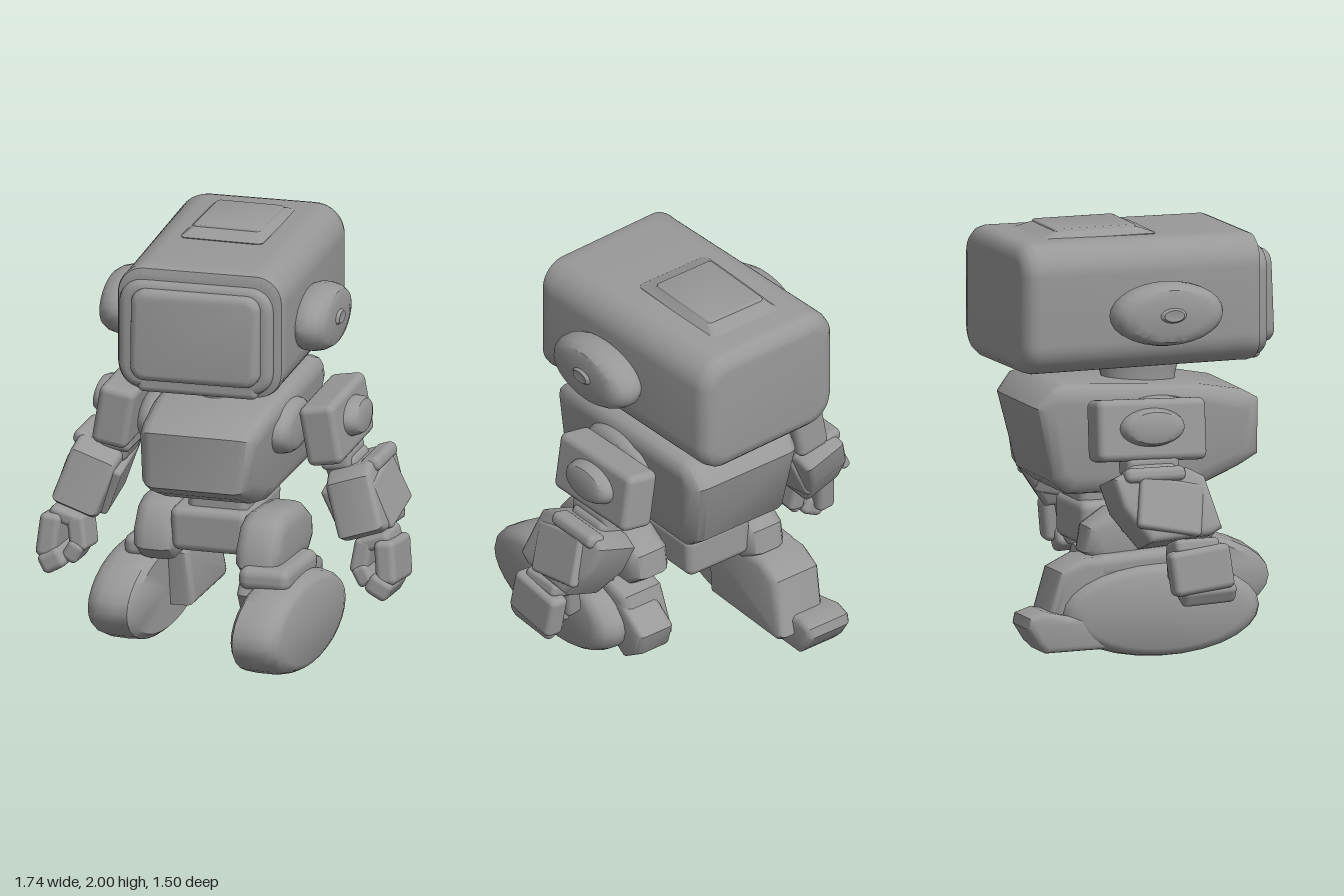
import * as THREE from 'three';
import { RoundedBoxGeometry } from 'three/addons/geometries/RoundedBoxGeometry.js';
import { toCreasedNormals } from 'three/addons/utils/BufferGeometryUtils.js';

const grey = new THREE.MeshStandardMaterial({ color: 0x999999 });
grey.name = 'plain grey';

export function createModel() {
  const model = new THREE.Group();
  model.name = 'robot';

  function add(parent, name, geometry, pos = [0, 0, 0], rot = [0, 0, 0]) {
    const mesh = new THREE.Mesh(geometry, grey);
    mesh.name = name;
    mesh.position.set(...pos);
    mesh.rotation.set(...rot);
    parent.add(mesh);
  }

  // Moves every vertex by a rule
  function reshape(geometry, rule) {
    const p = geometry.attributes.position;
    const v = new THREE.Vector3();
    for (let i = 0; i < p.count; i++) {
      v.fromBufferAttribute(p, i);
      rule(v);
      p.setXYZ(i, v.x, v.y, v.z);
    }
    return geometry;
  }

  const box = (w, h, d, r) => new RoundedBoxGeometry(w, h, d, 3, r);

  // Side outline of [z, y] points, extruded across x with a bevel
  function sideProfile(points, width, bevel, rule = () => {}) {
    const shape = new THREE.Shape(points.map(([z, y]) => new THREE.Vector2(z, y)));
    const g = new THREE.ExtrudeGeometry(shape, {
      depth: width - 2 * bevel, bevelThickness: bevel, bevelSize: bevel,
      bevelOffset: -bevel, bevelSegments: 3,
    });
    g.translate(0, 0, bevel - width / 2);
    g.rotateY(-Math.PI / 2);
    return toCreasedNormals(reshape(g, rule), 0.75);
  }

  // Oval disc facing outwards along x; profile is [radius 0..1, height]
  function disc(profile, ry, rz, s) {
    const g = new THREE.LatheGeometry(profile.map(([r, h]) => new THREE.Vector2(r, h)), 28);
    g.rotateZ(-s * Math.PI / 2);
    g.scale(1, ry, rz);
    return toCreasedNormals(g, 0.7);
  }

  // Rounded rectangle in the xy plane, extruded along z
  function plate(w, h, r, depth, bevel, rule = () => {}) {
    const x = w / 2 - r, y = h / 2 - r;
    const shape = new THREE.Shape();
    [[x, y], [-x, y], [-x, -y], [x, -y]].forEach(([cx, cy], i) =>
      shape.absarc(cx, cy, r, i * Math.PI / 2, (i + 1) * Math.PI / 2));
    const g = new THREE.ExtrudeGeometry(shape, {
      depth: depth - 2 * bevel, bevelThickness: bevel, bevelSize: bevel,
      bevelOffset: -bevel, bevelSegments: 3, curveSegments: 6,
    });
    g.translate(0, 0, bevel - depth / 2);
    return toCreasedNormals(reshape(g, rule), 0.6);
  }

  // Head: well rounded at the back, tighter at the front edge, turned slightly
  const head = new THREE.Group();
  head.name = 'head';
  model.add(head);
  const shell = plate(0.805, 0.61, 0.15, 1.19, 0.075, (v) => {
    const t = Math.max(0, v.z - 0.52) / 0.075;
    v.x *= 1 + 0.1 * t * t;
    v.y *= 1 + 0.14 * t * t;
    if (v.y > 0) v.y += 0.005 - v.z * 0.015;
  });
  add(head, 'headShell', shell, [0.003, 1.645, -0.145], [0, 0.035, 0]);
  add(head, 'faceRim', plate(0.74, 0.52, 0.11, 0.08, 0.035), [0.01, 1.625, 0.45], [0, 0.035, 0]);
  add(head, 'facePlate', plate(0.62, 0.44, 0.07, 0.11, 0.035), [0.02, 1.635, 0.49], [-0.04, 0.04, 0]);
  add(head, 'chinLip', box(0.58, 0.08, 0.1, 0.03), [0.02, 1.385, 0.44], [0, 0.035, 0]);
  const topPanel = plate(0.4, 0.58, 0.03, 0.05, 0.01, (v) => {
    if (v.z > 0) { v.x *= 0.82; v.y *= 0.7; }
  });
  add(head, 'topPanel', topPanel, [-0.01, 1.972, -0.29], [-Math.PI / 2, 0, 0]);

  // Neck, torso and hips
  const neck = new THREE.LatheGeometry([
    [0.12, 1.2], [0.12, 1.26], [0.125, 1.29], [0.132, 1.36],
  ].map(([r, y]) => new THREE.Vector2(r, y)), 24);
  neck.scale(1, 1, 1.5);
  add(model, 'neck', neck, [-0.005, 0, -0.02]);
  add(model, 'torso', sideProfile([
    [0.24, 0.765], [0.1, 0.74], [-0.45, 0.75], [-0.54, 0.82], [-0.62, 1.17], [-0.55, 1.26],
    [-0.48, 1.28], [0.2, 1.235], [0.42, 1.195], [0.5, 1.15], [0.5, 0.885], [0.4, 0.83],
  ], 0.65, 0.075, (v) => {
    v.x *= 0.85 + 0.15 * (v.y - 0.74) / 0.54;
    v.x *= 1 - 0.1 * Math.max(0, v.z) / 0.5;
    v.x += 0.02 * (v.y - 0.74) / 0.54;
  }));
  add(model, 'waist', box(0.29, 0.16, 0.5, 0.04), [0.015, 0.72, -0.1]);
  const pelvis = reshape(box(0.37, 0.21, 0.58, 0.04), (v) => { v.x *= 1 + v.y * 0.3; });
  add(model, 'pelvis', pelvis, [-0.01, 0.595, -0.08]);

  const puck = [[0, -0.06], [0.9, -0.06], [1, -0.03], [1, 0], [0.94, 0.03], [0.82, 0.052], [0.6, 0.06], [0, 0.06]];
  const knob = [[0, -0.02], [1, -0.02], [1, 0.005], [0.75, 0.02], [0, 0.015]];
  const wheelProfile = [[0, -0.125], [0.88, -0.125], [0.98, -0.1], [1, -0.04], [1, 0.04],
    [0.96, 0.085], [0.9, 0.11], [0.8, 0.122], [0, 0.125]];

  // Shin and heel outlines; the trailing right leg stands more upright
  const legs = {
    left: {
      z: 0, thighZ: 0, handZ: 0, shinWidth: 0.24, heelWidth: 0.2, heelX: 0.335,
      shin: [[0.25, 0.13], [-0.2, 0.12], [-0.27, 0.15], [-0.2, 0.4], [0.05, 0.48], [0.4, 0.47], [0.45, 0.38]],
      heel: [[-0.2, 0.07], [-0.31, 0.14], [-0.34, 0.25], [-0.17, 0.37], [-0.08, 0.3], [-0.05, 0.17]],
    },
    right: {
      z: -0.34, thighZ: 0.17, handZ: 0.04, shinWidth: 0.27, heelWidth: 0.25, heelX: 0.37,
      shin: [[0.25, 0.13], [-0.25, 0.12], [-0.29, 0.15], [-0.22, 0.42], [-0.1, 0.48], [0.22, 0.48], [0.3, 0.4]],
      heel: [[0, 0.055], [-0.31, 0.05], [-0.35, 0.09], [-0.4, 0.17], [-0.39, 0.22], [-0.31, 0.245], [-0.2, 0.22], [0, 0.2]],
    },
  };

  for (const s of [1, -1]) {
    const side = s > 0 ? 'left' : 'right';
    const { z, thighZ, handZ, shin, shinWidth, heel, heelWidth, heelX } = legs[side];

    // Ear
    add(head, side + 'Ear', disc(puck.map(([r, h]) => [r, h * 1.35]), 0.15, 0.275, s), [s * 0.475, 1.62, -0.045]);
    add(head, side + 'EarKnob', disc(knob, 0.036, 0.065, s), [s * 0.55, 1.625, -0.045]);

    // Shoulder and arm
    const arm = new THREE.Group();
    arm.name = side + 'Arm';
    model.add(arm);
    add(arm, 'shoulderDisc', disc(puck, 0.125, 0.23, s), [s * 0.315, 1.08, -0.03]);
    add(arm, 'upperArm', box(0.175, 0.29, 0.54, 0.035), [s * 0.505, 1.085, -0.16], [0.03, 0, s * 0.17]);
    add(arm, 'upperArmDisc', disc(puck, 0.09, 0.16, s), [s * 0.59, 1.11, -0.165], [0, 0, s * 0.1]);
    add(arm, 'elbowUpper', box(0.15, 0.1, 0.26, 0.03), [s * 0.535, 0.92, -0.16], [0, 0, s * 0.1]);
    add(arm, 'elbowLower', box(0.16, 0.1, 0.24, 0.035), [s * 0.56, 0.875, -0.17], [0, 0, s * 0.4]);
    const forearm = sideProfile([
      [0.2, -0.15], [-0.1, -0.17], [-0.22, 0], [-0.255, 0.14], [-0.17, 0.175],
      [0.12, 0.175], [0.2, 0.13], [0.26, -0.12],
    ], 0.23, 0.03);
    add(arm, 'forearm', forearm, [s * 0.66, 0.735, -0.15], [0, 0, s * 0.33]);
    for (const [name, x, y] of [['outerForearmPad', 0.765, 0.765], ['innerForearmPad', 0.55, 0.71]])
      add(arm, name, box(0.05, 0.25, 0.32, 0.02), [s * x, y, -0.14], [0.2, 0, s * 0.37]);
    add(arm, 'forearmLug', box(0.1, 0.07, 0.3, 0.03), [s * 0.7, 0.905, -0.2], [0, 0, s * 0.3]);

    // Two-fingered gripper
    const hand = new THREE.Group();
    hand.name = side + 'Hand';
    hand.position.z = handZ;
    arm.add(hand);
    add(hand, 'wrist', box(0.16, 0.07, 0.22, 0.025), [s * 0.745, 0.56, -0.06], [0, 0, s * 0.3]);
    add(hand, 'outerFinger', box(0.1, 0.21, 0.3, 0.03), [s * 0.815, 0.465, -0.05], [-0.12, 0, s * 0.1]);
    add(hand, 'outerFingertip', box(0.12, 0.1, 0.27, 0.03), [s * 0.79, 0.36, -0.01], [-0.05, 0, -s * 0.5]);
    add(hand, 'innerFinger', box(0.085, 0.17, 0.22, 0.025), [s * 0.685, 0.48, -0.05], [-0.12, 0, -s * 0.15]);
    add(hand, 'innerFingertip', box(0.08, 0.1, 0.2, 0.025), [s * 0.7, 0.4, -0.02], [-0.05, 0, s * 0.5]);

    // Leg
    const leg = new THREE.Group();
    leg.name = side + 'Leg';
    leg.position.z = z;
    model.add(leg);
    const thigh = sideProfile([
      [0.3, 0.43], [-0.15, 0.43], [-0.24, 0.5], [-0.22, 0.62], [-0.1, 0.7], [0.2, 0.73],
      [0.3, 0.7], [0.38, 0.6], [0.39, 0.5],
    ], 0.22, 0.065);
    add(leg, 'thigh', thigh, [s * 0.275, -0.01, thighZ]);
    add(leg, 'knee', box(0.25, 0.11, 0.5, 0.045), [s * 0.33, 0.445, 0.2], [-0.06, 0, 0]);
    add(leg, 'shin', sideProfile(shin, shinWidth, 0.04, (v) => { v.x -= s * (0.45 - v.y) * 0.08; }), [s * 0.32, 0, 0]);
    add(leg, 'wheelFoot', disc(wheelProfile, 0.22, 0.485, s), [s * 0.405, 0.222, 0.265], [0, -0.08, s * 0.02]);
    add(leg, 'heel', sideProfile(heel, heelWidth, 0.03), [s * heelX, 0, 0]);
  }
  return model;
}
